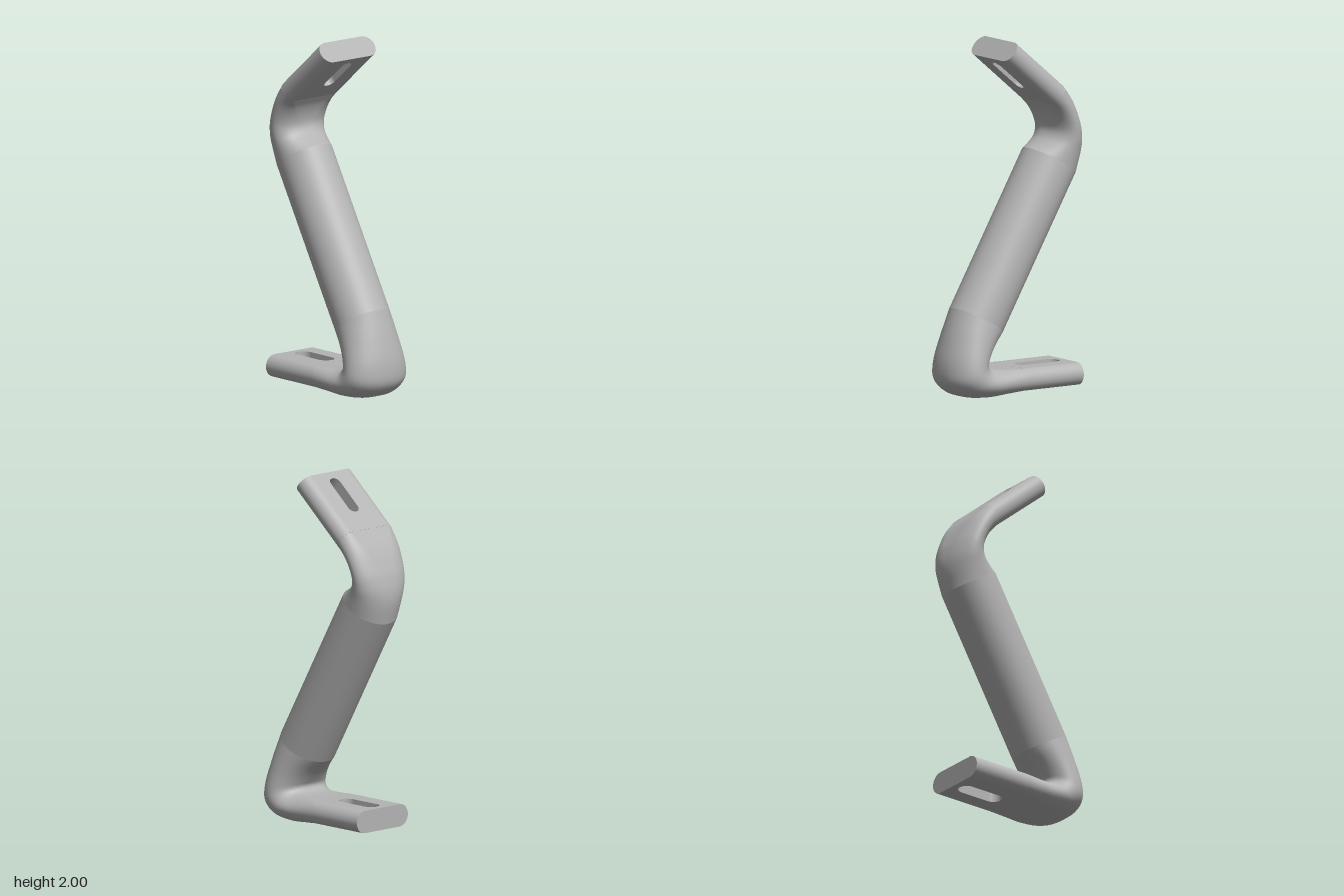
import * as THREE from 'three';

const steel = new THREE.MeshStandardMaterial({ color: 0xb4b4b4 });
steel.name = 'plain steel grey';

const WIDTH = 0.197, HALF = 0.0635; // half width and half thickness of the flattened ends
const SIDES = 48;

// Skin through sections [frontZ, frontY, backZ, backY, halfWidth, flatness]
function loft(name, sections, steps) {
  const front = new THREE.CatmullRomCurve3(sections.map(s => new THREE.Vector3(s[4], s[1], s[0])));
  const back = new THREE.CatmullRomCurve3(sections.map(s => new THREE.Vector3(s[5], s[3], s[2])));
  const pos = [], index = [];
  for (let i = 0; i <= steps; i++) {
    const f = front.getPoint(i / steps), b = back.getPoint(i / steps);
    const w = f.x, flat = b.x;
    const cy = (f.y + b.y) / 2, cz = (f.z + b.z) / 2;
    const ny = (f.y - b.y) / 2, nz = (f.z - b.z) / 2;
    const t = Math.hypot(ny, nz);
    for (let j = 0; j < SIDES; j++) {
      const a = j / SIDES * Math.PI * 2;
      const c = Math.abs(Math.cos(a)) < 1e-6 ? 0 : Math.cos(a), s = Math.sin(a);
      // blend from an ellipse to a slab with round sides
      const slab = Math.sign(c) * (w - t) + t * c;
      pos.push(THREE.MathUtils.lerp(w * c, slab, flat), cy + ny * s, cz + nz * s);
      if (i < steps) {
        const k = (j + 1) % SIDES, p = i * SIDES, q = p + SIDES;
        index.push(p + j, q + j, p + k, q + j, q + k, p + k);
      }
    }
  }
  const g = new THREE.BufferGeometry();
  g.setAttribute('position', new THREE.Float32BufferAttribute(pos, 3));
  g.setIndex(index);
  g.computeVertexNormals();
  const mesh = new THREE.Mesh(g, steel);
  mesh.name = name;
  return mesh;
}

// Flat mounting end: slotted slab with rounded sides, running along +y from its free end
function mountingPlate(name, length, margin, slotLength, r) {
  const group = new THREE.Group();
  group.name = name;
  const e = WIDTH - HALF, cx = 0.005;
  const shape = new THREE.Shape([[-e, 0], [e, 0], [e, length], [-e, length]].map(p => new THREE.Vector2(...p)));
  const slot = new THREE.Path();
  slot.absarc(cx, margin + r, r, Math.PI, Math.PI * 2, false);
  slot.absarc(cx, margin + slotLength - r, r, 0, Math.PI, false);
  slot.closePath();
  shape.holes.push(slot);
  const core = new THREE.ExtrudeGeometry(shape, { depth: HALF * 2, bevelEnabled: false, curveSegments: 16 });
  core.translate(0, 0, -HALF);
  const slab = new THREE.Mesh(core, steel);
  slab.name = 'slottedSlab';
  group.add(slab);
  for (const side of [1, -1]) {
    const g = new THREE.CylinderGeometry(HALF, HALF, length, 20, 1, false, side > 0 ? 0 : Math.PI, Math.PI);
    g.translate(side * e, length / 2, 0);
    const edge = new THREE.Mesh(g, steel);
    edge.name = side > 0 ? 'leftRoundEdge' : 'rightRoundEdge';
    group.add(edge);
  }
  return group;
}

export function createModel() {
  const model = new THREE.Group();
  model.name = 'bentBracket';

  // Lower bend, flat foot to round tube
  model.add(loft('lowerBend', [
    [0, 0.029, 0, 0.156, 0.197, 1],
    [0.1, 0.017, 0.1, 0.158, 0.199, 0.8],
    [0.22, 0.004, 0.165, 0.166, 0.203, 0.5],
    [0.36, 0.022, 0.19, 0.18, 0.205, 0.3],
    [0.44, 0.09, 0.197, 0.2, 0.204, 0.2],
    [0.45, 0.19, 0.185, 0.225, 0.197, 0.1],
    [0.415, 0.345, 0.14, 0.285, 0.18, 0],
    [0.36, 0.51, 0.075, 0.35, 0.1625, 0],
  ], 42));

  // Straight round tube
  model.add(loft('tube', [
    [0.36, 0.51, 0.075, 0.35, 0.1625, 0],
    [-0.14, 1.37, -0.423, 1.206, 0.1625, 0],
  ], 4));

  // Upper bend, round tube to flat head
  model.add(loft('upperBend', [
    [-0.14, 1.37, -0.423, 1.206, 0.1625, 0],
    [-0.19, 1.395, -0.447, 1.31, 0.168, 0],
    [-0.235, 1.425, -0.45, 1.39, 0.175, 0.1],
    [-0.257, 1.465, -0.435, 1.465, 0.182, 0.2],
    [-0.252, 1.52, -0.405, 1.54, 0.188, 0.4],
    [-0.228, 1.58, -0.35, 1.638, 0.194, 0.7],
    [-0.193, 1.63, -0.275, 1.727, 0.197, 1],
  ], 36));

  // Horizontal foot plate
  const foot = mountingPlate('footPlate', 0.38, 0.04, 0.285, 0.048);
  foot.rotation.x = Math.PI / 2;
  foot.position.set(0, 0.0925, -0.38);
  model.add(foot);

  // Tilted head plate
  const head = mountingPlate('headPlate', 0.424, 0.045, 0.25, 0.036);
  head.rotation.x = THREE.MathUtils.degToRad(-130);
  head.position.set(0, 1.951, 0.091);
  model.add(head);

  return model;
}
